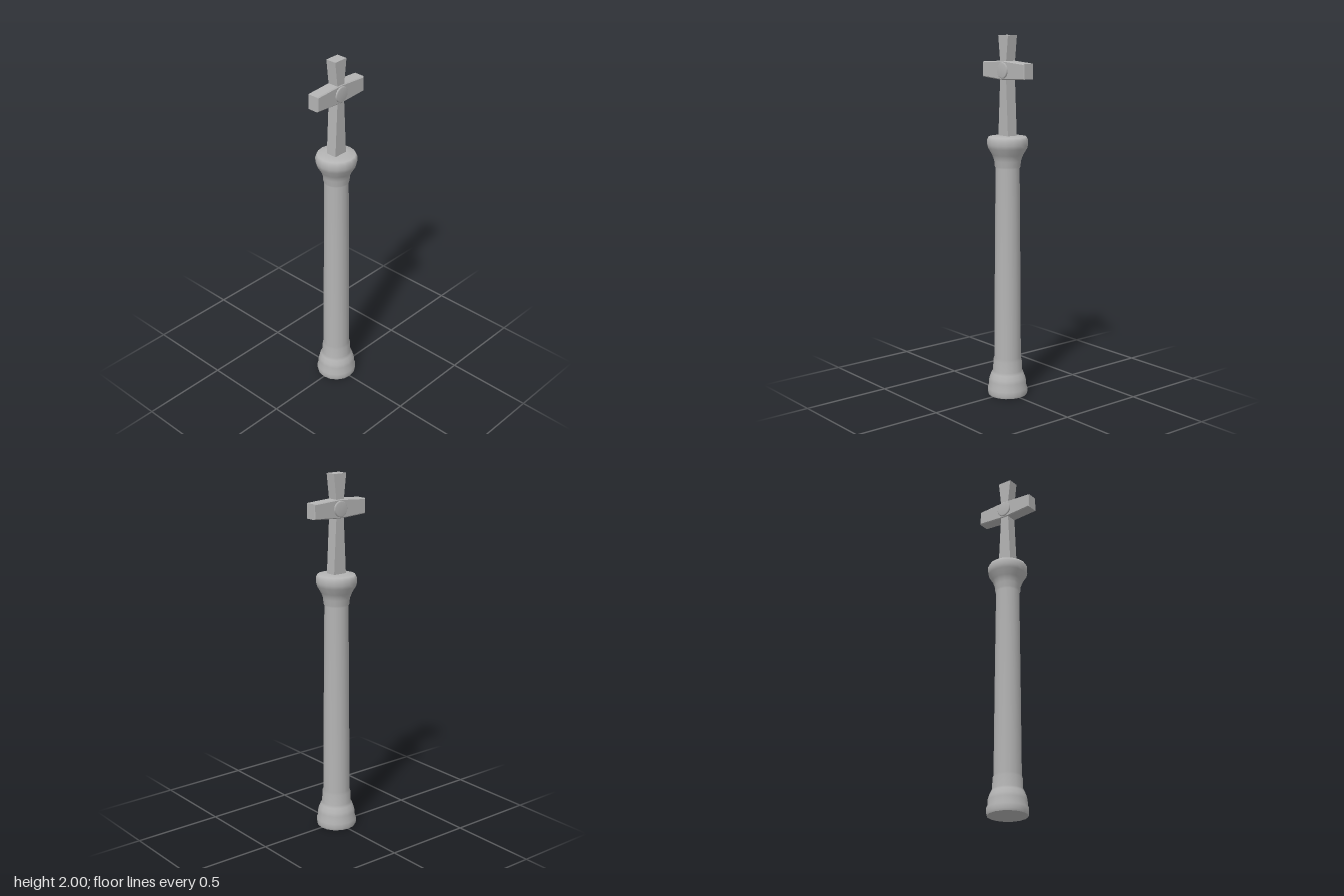
import * as THREE from 'three';

const stone = new THREE.MeshStandardMaterial({ color: 0xb4b4b4 });
stone.name = 'greyStone';

const vectors = (points) => points.map(([x, y]) => new THREE.Vector2(x, y));

function addMesh(group, name, geometry) {
  const mesh = new THREE.Mesh(geometry, stone);
  mesh.name = name;
  group.add(mesh);
  return mesh;
}

// Extrudes an outline about z = 0, with an optional chamfer kept inside the outline
function slab(points, halfDepth, chamfer = 0) {
  const geometry = new THREE.ExtrudeGeometry(new THREE.Shape(vectors(points)), {
    depth: 2 * (halfDepth - chamfer),
    bevelEnabled: chamfer > 0,
    bevelThickness: chamfer,
    bevelSize: chamfer,
    bevelOffset: -chamfer,
    bevelSegments: 1,
  });
  geometry.translate(0, 0, -(halfDepth - chamfer));
  return geometry;
}

export function createModel() {
  const model = new THREE.Group();
  model.name = 'columnWithCross';

  // Turned column: moulded base, tapering shaft and flared capital
  addMesh(model, 'column', new THREE.LatheGeometry(vectors([
    [0.108, 0], [0.112, 0.012], [0.112, 0.038], [0.105, 0.055],
    [0.105, 0.08], [0.1, 0.1], [0.09, 0.125], [0.082, 0.14],
    [0.08, 0.2], [0.075, 0.215], [0.071, 0.75], [0.066, 1.285],
    [0.071, 1.295], [0.073, 1.325], [0.08, 1.345], [0.086, 1.36],
    [0.107, 1.395], [0.112, 1.415], [0.112, 1.44], [0.103, 1.457],
    [0.055, 1.463], [0, 1.463],
  ]), 16));

  // Flat underside
  const underside = addMesh(model, 'underside', new THREE.CircleGeometry(0.108, 16));
  underside.rotation.x = Math.PI / 2;

  const cross = new THREE.Group();
  cross.name = 'cross';
  model.add(cross);

  // Upright, narrowest where the arms meet it
  addMesh(cross, 'upright', slab([
    [-0.041, 1.455], [0.041, 1.455], [0.025, 1.77], [0.025, 1.86],
    [0.041, 2], [-0.041, 2], [-0.025, 1.86], [-0.025, 1.77],
  ], 0.031));

  // Chamfered crossbar, slightly narrower at the ends
  addMesh(cross, 'crossbar', slab([
    [-0.174, 1.773], [0, 1.762], [0.174, 1.773],
    [0.174, 1.855], [0, 1.866], [-0.174, 1.855],
  ], 0.035, 0.005));

  // Round boss showing on both faces
  const boss = addMesh(cross, 'boss', new THREE.LatheGeometry(vectors([
    [0, -0.043], [0.038, -0.043], [0.044, -0.038],
    [0.044, 0.038], [0.038, 0.043], [0, 0.043],
  ]), 16));
  boss.rotation.x = Math.PI / 2;
  boss.position.y = 1.814;

  return model;
}
